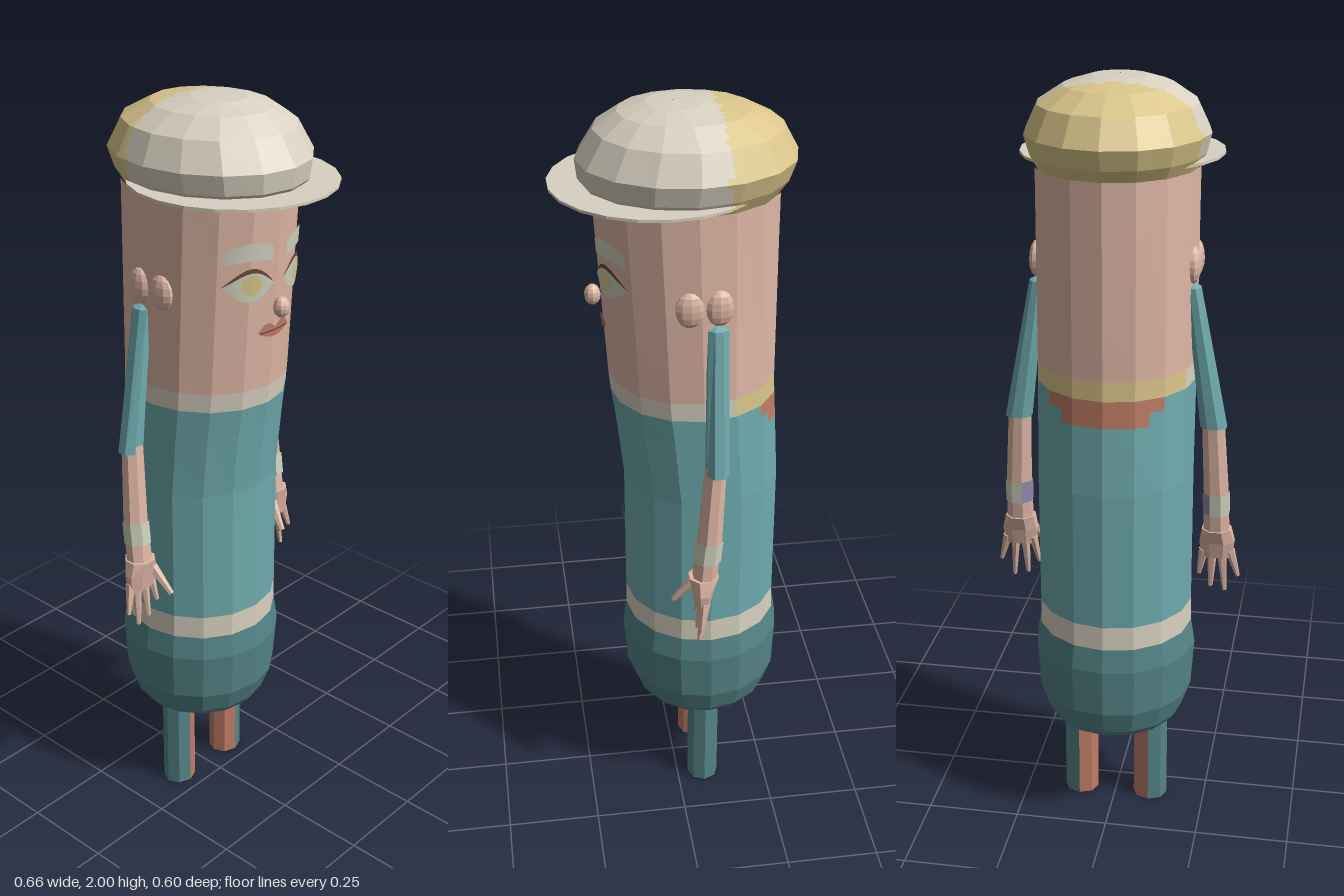
import * as THREE from 'three';

const paint = (name, color) => Object.assign(new THREE.MeshStandardMaterial({ color }), { name });
const skin = paint('skin', 0xdfb7a6);
const teal = paint('teal', 0x6fabae);
const darkTeal = paint('dark teal', 0x558588);
const cream = paint('cream', 0xd9d1c1);
const yellow = paint('straw yellow', 0xdbc78b);
const rust = paint('rust', 0xbf7c66);
const violet = paint('violet', 0x958eb4);
const sage = paint('sage', 0xcfd2bf);
const brown = paint('dark brown', 0x6e4a3e);

// Skin of flat facets through oval rings [y, centreX, radiusX, frontZ, backZ], listed bottom to top.
// Each facet is divided so that colorAt(centre) can split colours inside it.
function loft(name, rings, sides, colorAt, { sub = 1, turn = 0 } = {}) {
  const point = (i, j) => {
    const [y, cx, rx, zf, zb] = rings[i];
    const a = ((j + turn) / sides) * Math.PI * 2;
    return new THREE.Vector3(cx + rx * Math.sin(a), y, (zf + zb) / 2 + ((zf - zb) / 2) * Math.cos(a));
  };
  const buckets = new Map();
  for (let i = 0; i < rings.length - 1; i++) {
    for (let j = 0; j < sides; j++) {
      const [p, q, r, s] = [point(i, j), point(i, j + 1), point(i + 1, j + 1), point(i + 1, j)];
      const at = (u, v) => p.clone().lerp(q, u).lerp(s.clone().lerp(r, u), v);
      for (let m = 0; m < sub; m++) {
        for (let n = 0; n < sub; n++) {
          const [u0, u1, v0, v1] = [m / sub, (m + 1) / sub, n / sub, (n + 1) / sub];
          const mat = colorAt(at((u0 + u1) / 2, (v0 + v1) / 2));
          if (!buckets.has(mat)) buckets.set(mat, []);
          const [a, b, c, d] = [at(u0, v0), at(u1, v0), at(u1, v1), at(u0, v1)];
          for (const w of [a, b, c, a, c, d]) buckets.get(mat).push(w.x, w.y, w.z);
        }
      }
    }
  }
  const geo = new THREE.BufferGeometry();
  const all = [];
  [...buckets.values()].forEach((list, k) => {
    geo.addGroup(all.length / 3, list.length / 3, k);
    for (const n of list) all.push(n);
  });
  geo.setAttribute('position', new THREE.Float32BufferAttribute(all, 3));
  geo.computeVertexNormals();
  const mesh = new THREE.Mesh(geo, [...buckets.keys()]);
  mesh.name = name;
  return mesh;
}

function faceted(name, geometry, mat) {
  const geo = geometry.toNonIndexed();
  geo.computeVertexNormals();
  const mesh = new THREE.Mesh(geo, mat);
  mesh.name = name;
  return mesh;
}

// Tapered rod between two points
function rod(name, from, to, r0, r1, mat) {
  const a = new THREE.Vector3(...from), dir = new THREE.Vector3(...to).sub(a);
  const mesh = faceted(name, new THREE.CylinderGeometry(r1, r0, dir.length(), 6), mat);
  mesh.position.copy(a).addScaledVector(dir, 0.5);
  mesh.quaternion.setFromUnitVectors(new THREE.Vector3(0, 1, 0), dir.normalize());
  return mesh;
}

function blob(name, pos, scale, mat) {
  const mesh = faceted(name, new THREE.SphereGeometry(1, 10, 8), mat);
  mesh.position.set(...pos);
  mesh.scale.set(...scale);
  return mesh;
}

// Height of the face surface, so that painted features follow its curve
function faceZ(x, y) {
  const front = 0.165 + (0.032 * (y - 1.3)) / 0.48;
  return (front - 0.265) / 2 + ((front + 0.265) / 2) * Math.sqrt(1 - (x / 0.205) ** 2);
}

// Thin curved plate between an upper and a lower outline; side -1 mirrors it
function plate(name, x0, x1, top, bottom, lift, mat, side = 1) {
  const n = 10, pos = [], index = [];
  const [lo, hi] = side > 0 ? [x0, x1] : [-x1, -x0];
  for (let i = 0; i <= n; i++) {
    const t = i / n, x = lo + (hi - lo) * t, u = side > 0 ? t : 1 - t;
    for (const y of [bottom(u), top(u)]) pos.push(x, y, faceZ(x, y) + lift);
    if (i < n) index.push(2 * i, 2 * i + 2, 2 * i + 3, 2 * i, 2 * i + 3, 2 * i + 1);
  }
  const geo = new THREE.BufferGeometry();
  geo.setAttribute('position', new THREE.Float32BufferAttribute(pos, 3));
  geo.setIndex(index);
  geo.computeVertexNormals();
  const mesh = new THREE.Mesh(geo, mat);
  mesh.name = name;
  return mesh;
}

const arch = (u) => Math.sin(Math.PI * u);
const round = (u) => Math.sqrt(Math.max(0, 1 - (2 * u - 1) ** 2));

function bodyColor(p) {
  if (p.y < 0.282) return rust;
  if (p.y < 0.565) return darkTeal;
  if (p.y < 0.63) return cream;
  if (p.y < 1.25) {
    const patch = p.y > 1.18 && p.z < (p.y > 1.215 ? -0.2 : -0.225);
    return patch ? rust : teal;
  }
  if (p.y < 1.3) return p.z < -0.14 ? yellow : cream;
  return skin;
}

function face() {
  const g = new THREE.Group();
  g.name = 'face';
  for (const s of [1, -1]) {
    g.add(
      plate('eyebrow', 0.025, 0.138, (u) => 1.678 + 0.017 * arch(u), (u) => 1.642 + 0.008 * arch(u), 0.004, sage, s),
      plate('eyelid', 0.015, 0.142, (u) => 1.585 + 0.045 * arch(u), (u) => 1.585 + 0.03 * arch(u), 0.004, brown, s),
      plate('eye', 0.018, 0.138, (u) => 1.585 + 0.034 * arch(u), (u) => 1.585 - 0.042 * arch(u), 0.005, sage, s),
      plate('iris', 0.054, 0.104, (u) => 1.588 + 0.026 * round(u), (u) => 1.588 - 0.026 * round(u), 0.008, yellow, s),
      // Each ear is a pair of flattened lobes
      blob('earFront', [0.196 * s, 1.555, -0.015], [0.02, 0.047, 0.038], skin),
      blob('earBack', [0.196 * s, 1.555, -0.085], [0.02, 0.047, 0.036], skin),
    );
  }
  g.add(
    plate('upperLip', -0.055, 0.055, (u) => 1.457 + 0.017 * Math.abs(Math.sin(2 * Math.PI * u)) + 0.005 * arch(u), () => 1.456, 0.005, rust),
    plate('lowerLip', -0.055, 0.055, () => 1.454, (u) => 1.454 - 0.016 * arch(u), 0.005, rust),
    plate('mouthLine', -0.05, 0.05, () => 1.457, () => 1.453, 0.006, brown),
    blob('nose', [0, 1.518, 0.2], [0.021, 0.027, 0.021], skin),
  );
  return g;
}

function arm(s) {
  const g = new THREE.Group();
  g.name = s > 0 ? 'leftArm' : 'rightArm';
  const part = (name, rings, color) =>
    g.add(loft(name, rings.map(([y, x, ...rest]) => [y, x * s, ...rest]), 8, color, { turn: 0.5 }));
  part('sleeve', [[1.13, 0.255, 0.001, -0.074, -0.076], [1.13, 0.255, 0.036, -0.045, -0.107],
    [1.5, 0.197, 0.02, -0.055, -0.11], [1.51, 0.196, 0.001, -0.08, -0.082]], () => teal);
  part('forearm', [[0.82, 0.266, 0.036, -0.012, -0.077], [0.94, 0.264, 0.034, -0.025, -0.09],
    [1.15, 0.253, 0.03, -0.045, -0.1]], () => skin);
  part('bracelet', [[0.878, 0.265, 0.037, -0.013, -0.088], [0.94, 0.264, 0.037, -0.02, -0.094]],
    (p) => (Math.abs(p.x) < 0.264 ? violet : sage));
  part('hand', [[0.745, 0.268, 0.045, -0.018, -0.058], [0.79, 0.268, 0.05, -0.01, -0.068],
    [0.83, 0.266, 0.041, -0.002, -0.084], [0.83, 0.266, 0.001, -0.042, -0.044]], () => skin);
  // Four fingers fanned sideways: [knuckle x, tip x, tip y]
  for (const [x, tx, ty] of [[0.234, 0.22, 0.685], [0.256, 0.252, 0.65], [0.281, 0.29, 0.64], [0.303, 0.325, 0.685]])
    g.add(rod('finger', [x * s, 0.765, -0.042], [tx * s, ty, -0.03], 0.014, 0.006, skin));
  g.add(rod('thumb', [0.24 * s, 0.8, -0.025], [0.225 * s, 0.73, 0.03], 0.015, 0.008, skin));
  return g;
}

export function createModel() {
  const model = new THREE.Group();
  model.name = 'figure';

  // Column-shaped body and head
  model.add(loft('body', [
    [0.279, 0, 0.001, -0.08, -0.082], [0.28, 0, 0.1, 0.02, -0.185], [0.285, 0, 0.17, 0.09, -0.25],
    [0.305, 0, 0.185, 0.105, -0.265], [0.37, 0, 0.208, 0.13, -0.287], [0.5, 0, 0.217, 0.14, -0.292],
    [0.565, 0, 0.206, 0.13, -0.282], [0.63, 0, 0.205, 0.13, -0.28], [1, 0, 0.205, 0.13, -0.28],
    [1.18, 0, 0.205, 0.15, -0.27], [1.25, 0, 0.205, 0.16, -0.266], [1.3, 0, 0.205, 0.165, -0.265],
    [1.79, 0, 0.205, 0.197, -0.265],
  ], 16, bodyColor, { sub: 4 }));
  model.add(face());

  // Domed cap, yellow towards the back, with a flat brim
  const capColor = (p) => (p.z < -0.105 ? yellow : cream);
  model.add(loft('cap', [
    [1.78, 0, 0.001, 0, -0.002], [1.78, 0, 0.195, 0.195, -0.255], [1.82, 0, 0.217, 0.228, -0.285],
    [1.87, 0, 0.23, 0.234, -0.303], [1.94, 0, 0.197, 0.19, -0.265], [1.98, 0, 0.135, 0.133, -0.19],
    [1.998, 0, 0.07, 0.065, -0.075], [2, 0, 0.001, 0, -0.002],
  ], 16, capColor, { sub: 5 }));
  model.add(loft('brim', [
    [1.805, 0, 0.15, 0.19, -0.1], [1.805, 0, 0.257, 0.302, -0.225],
    [1.812, 0, 0.257, 0.302, -0.225], [1.812, 0, 0.15, 0.19, -0.1],
  ], 22, capColor, { sub: 4, turn: 0.5 }));

  // Limbs; legs are dark teal outside and rust inside
  for (const s of [1, -1]) {
    model.add(arm(s));
    model.add(loft(s > 0 ? 'leftLeg' : 'rightLeg', [
      [0, 0.098 * s, 0.001, -0.073, -0.075], [0, 0.098 * s, 0.047, -0.03, -0.117], [0.3, 0.098 * s, 0.047, -0.03, -0.117],
    ], 8, (p) => (Math.abs(p.x) < 0.098 ? rust : darkTeal)));
  }
  return model;
}
